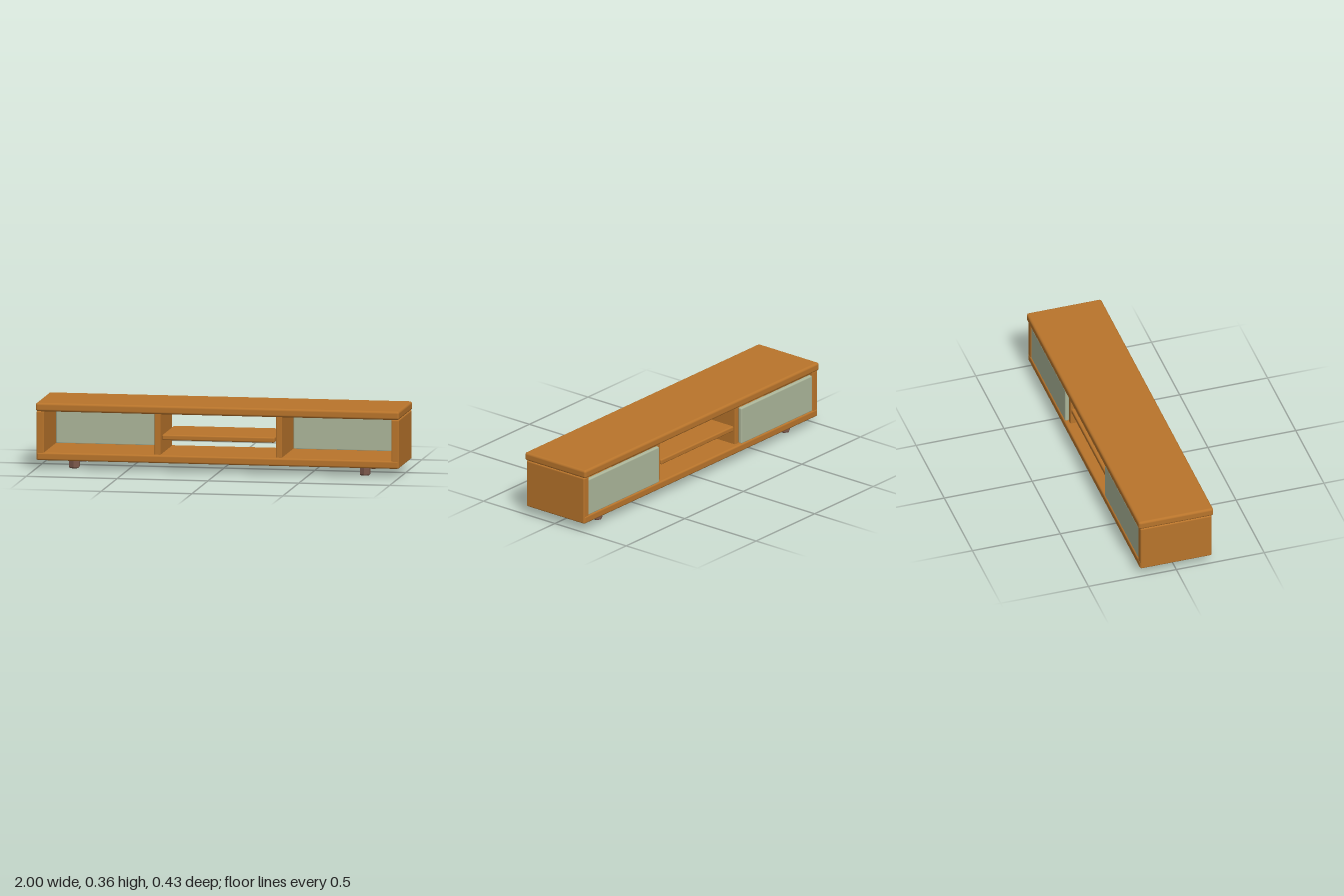
import * as THREE from 'three';
import { RoundedBoxGeometry } from 'three/addons/geometries/RoundedBoxGeometry.js';

export function createModel() {
  const model = new THREE.Group();
  model.name = 'mediaConsole';

  const material = (name, color) => {
    const m = new THREE.MeshStandardMaterial({ color });
    m.name = name;
    return m;
  };
  const wood = material('warm wood', 0xb8742b);
  const sage = material('sage green', 0xabb599);
  const brown = material('dark brown', 0x7b584b);

  // Rounded board given by its limits on each axis
  const board = (name, mat, [x0, x1], [y0, y1], [z0, z1], radius) => {
    const geometry = new RoundedBoxGeometry(x1 - x0, y1 - y0, z1 - z0, 3, radius);
    const mesh = new THREE.Mesh(geometry, mat);
    mesh.name = name;
    mesh.position.set((x0 + x1) / 2, (y0 + y1) / 2, (z0 + z1) / 2);
    model.add(mesh);
  };

  // Carcass: top, floor and the loose middle shelf
  board('topBoard', wood, [-1, 1], [0.315, 0.362], [-0.213, 0.213], 0.013);
  board('floorBoard', wood, [-0.995, 0.995], [0.047, 0.09], [-0.205, 0.205], 0.01);
  board('middleShelf', wood, [-0.31, 0.31], [0.17, 0.2], [-0.18, 0.18], 0.008);

  // Hexagonal foot with softened rims
  const footProfile = [[0, 0], [0.023, 0], [0.028, 0.002], [0.031, 0.008],
    [0.031, 0.042], [0.028, 0.048], [0, 0.048]].map(([r, y]) => new THREE.Vector2(r, y));
  const footGeometry = new THREE.LatheGeometry(footProfile, 6).toNonIndexed();
  footGeometry.computeVertexNormals();

  for (const side of [-1, 1]) {
    const label = side > 0 ? 'left' : 'right';
    const span = (a, b) => (side > 0 ? [a, b] : [-b, -a]);

    // End panel, inner divider and back panel of each compartment
    board(label + 'EndPanel', wood, span(0.955, 0.998), [0.048, 0.316], [-0.2025, 0.2025], 0.008);
    board(label + 'Divider', wood, span(0.318, 0.35), [0.085, 0.318], [-0.18, 0.18], 0.004);
    board(label + 'BackPanel', sage, span(0.35, 0.956), [0.086, 0.296], [-0.2, -0.176], 0.008);

    for (const z of [-0.132, 0.132]) {
      const foot = new THREE.Mesh(footGeometry, brown);
      foot.name = label + (z > 0 ? 'FrontFoot' : 'BackFoot');
      foot.position.set(side * 0.8, 0, z);
      model.add(foot);
    }
  }
  return model;
}
